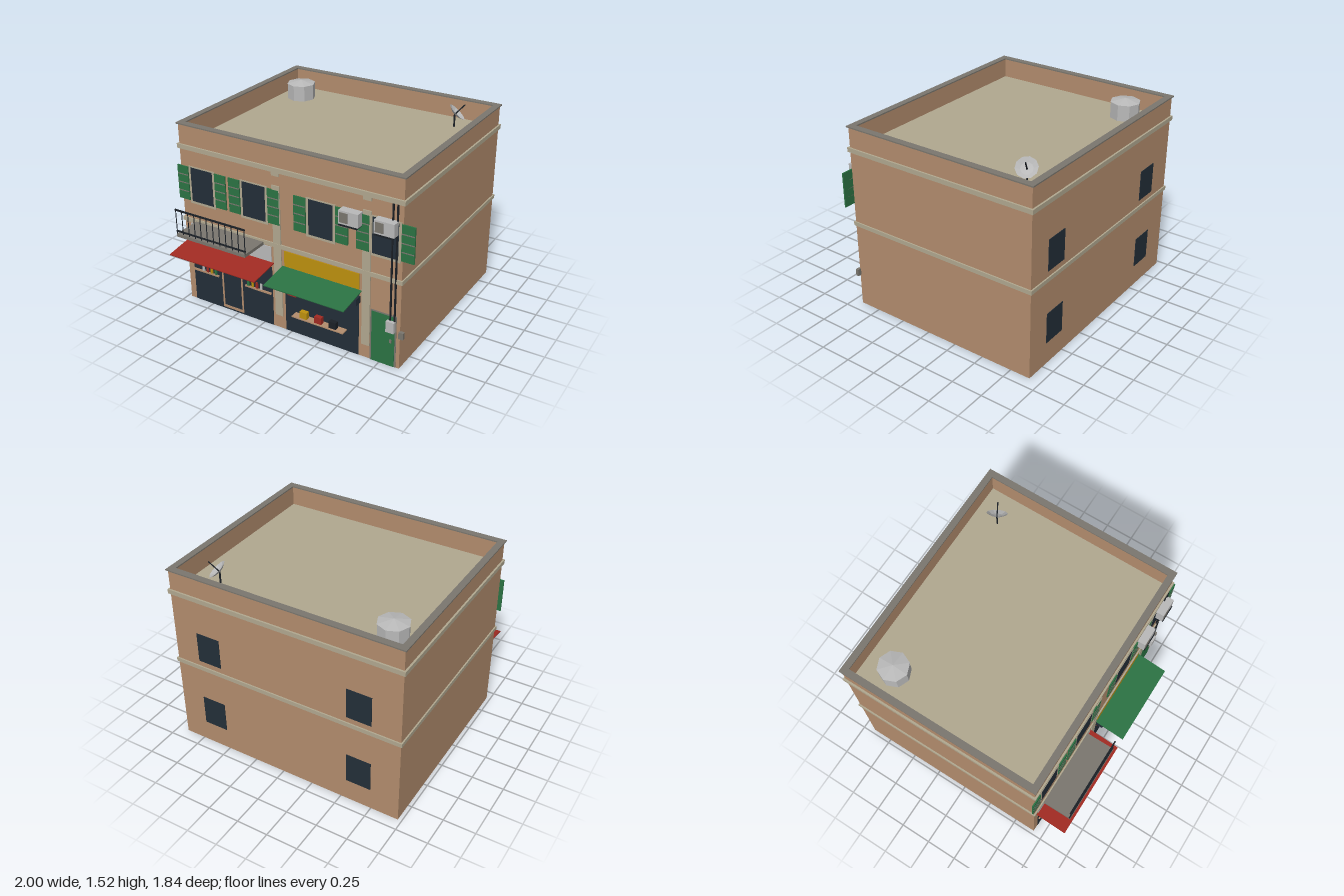
import * as THREE from 'three';

const mat = (name, color, side = THREE.FrontSide) => {
  const m = new THREE.MeshStandardMaterial({ color, side });
  m.name = name;
  m.flatShading = true;
  return m;
};

export function createModel() {
  const M = {
    wall: mat('tan plaster', 0xb28c6d),
    trim: mat('pale stone', 0xb0a78f),
    grey: mat('dark concrete', 0x7a766e),
    green: mat('green paint', 0x2b7243),
    red: mat('red paint', 0xa02a22),
    yellow: mat('yellow paint', 0xbc900e),
    glass: mat('dark glass', 0x232e38),
    metal: mat('light metal', 0xb9b9b9, THREE.DoubleSide),
    black: mat('black iron', 0x1b2026, THREE.DoubleSide),
  };
  const root = new THREE.Group();
  root.name = 'shopBuilding';
  const FRONT = 0.67, BACK = -0.91, LEFT = -0.97, RIGHT = 0.91, ROOF = 1.335;

  const add = (name, geo, material, parent = root) => {
    const mesh = new THREE.Mesh(geo, material);
    mesh.name = name;
    parent.add(mesh);
    return mesh;
  };
  // box given by its limits on each axis
  const box = (name, m, x0, x1, y0, y1, z0, z1, parent) => {
    const b = add(name, new THREE.BoxGeometry(x1 - x0, y1 - y0, z1 - z0), m, parent);
    b.position.set((x0 + x1) / 2, (y0 + y1) / 2, (z0 + z1) / 2);
    return b;
  };
  // thin plate on the front wall, reaching d out from it
  const plate = (name, m, x0, x1, y0, y1, d, parent) =>
    box(name, m, x0, x1, y0, y1, FRONT - 0.002, FRONT + d, parent);
  const group = (name) => {
    const g = new THREE.Group();
    g.name = name;
    root.add(g);
    return g;
  };
  // rectangular ring around the building, out and inn measured from the wall face
  const ring = (name, m, out, inn, y0, y1) => {
    const rect = (C, o) => new C([
      new THREE.Vector2(LEFT - o, -FRONT - o), new THREE.Vector2(RIGHT + o, -FRONT - o),
      new THREE.Vector2(RIGHT + o, -BACK + o), new THREE.Vector2(LEFT - o, -BACK + o),
    ]);
    const s = rect(THREE.Shape, out);
    s.holes.push(rect(THREE.Path, -inn));
    const g = new THREE.ExtrudeGeometry(s, { depth: y1 - y0, bevelEnabled: false });
    g.rotateX(-Math.PI / 2);
    add(name, g, m).position.y = y0;
  };

  // main body, roof and parapet
  box('body', M.wall, LEFT, RIGHT, 0, ROOF - 0.005, BACK, FRONT);
  box('roofDeck', M.trim, LEFT + 0.03, RIGHT - 0.03, ROOF - 0.005, ROOF, BACK + 0.03, FRONT - 0.03);
  ring('parapet', M.wall, 0, 0.04, ROOF - 0.005, 1.485);
  ring('parapetCap', M.grey, 0.012, 0.04, 1.485, 1.495);
  ring('cornice', M.trim, 0.014, 0.01, 1.295, 1.33);
  ring('floorBand', M.trim, 0.011, 0.01, 0.693, 0.725);

  // pilasters
  for (const x of [-0.108, 0.637]) {
    plate('pilaster', M.trim, x - 0.033, x + 0.033, 0.11, 1.19, 0.008);
    plate('pilasterHead', M.trim, x - 0.033, x + 0.033, 1.265, 1.295, 0.008);
  }

  // upper windows with shutters
  for (const x of [-0.778, -0.305, 0.265, 0.778]) {
    const g = group('shutteredWindow');
    plate('windowFrame', M.trim, x - 0.12, x + 0.12, 0.858, 1.165, 0.004, g);
    plate('windowPane', M.glass, x - 0.1, x + 0.1, 0.878, 1.155, 0.006, g);
    for (const s of [-1, 1]) {
      const c = x + s * 0.173;
      plate('shutter', M.green, c - 0.05, c + 0.05, 0.88, 1.155, 0.009, g);
      for (const y of [0.95, 1.018, 1.086])
        plate('shutterSlat', M.grey, c - 0.048, c + 0.048, y - 0.004, y + 0.004, 0.011, g);
    }
  }

  // back windows
  for (const x of [-0.645, 0.612])
    for (const y of [0.18, 0.77])
      box('backWindow', M.glass, x - 0.098, x + 0.098, y, y + 0.245, BACK - 0.004, BACK + 0.002);

  // shopfronts, signs and awnings
  const shop = (x0, x1, sign, awning, a0, a1) => {
    const g = group('shopfront');
    plate('shopGlass', M.glass, x0, x1, 0.001, 0.51, 0.003, g);
    plate('signBoard', sign, x0, x1, 0.555, 0.682, 0.006, g);
    const a = add('awning', new THREE.BoxGeometry(a1 - a0, 0.007, 0.253), awning, g);
    a.position.set((a0 + a1) / 2, 0.529, 0.795);
    a.rotation.x = Math.atan2(0.036, 0.25);
  };
  shop(-0.915, -0.165, M.metal, M.red, -0.935, -0.147);
  shop(-0.05, 0.58, M.yellow, M.green, -0.07, 0.6);

  // left shop: framed door and bottle shelves
  const d = group('shopDoor');
  plate('doorPost', M.wall, -0.642, -0.627, 0.015, 0.45, 0.006, d);
  plate('doorPost', M.wall, -0.46, -0.445, 0.015, 0.45, 0.006, d);
  plate('doorHead', M.wall, -0.627, -0.46, 0.422, 0.45, 0.006, d);
  plate('doorSill', M.wall, -0.627, -0.46, 0.015, 0.037, 0.006, d);
  const bottleColours = [M.metal, M.red, M.yellow, M.green];
  [[-0.91, -0.67, -0.818, 1], [-0.415, -0.175, -0.387, -1]].forEach(([x0, x1, start, dir]) => {
    const g = group('bottleShelf');
    plate('shelf', M.wall, x0, x1, 0.272, 0.286, 0.015, g);
    for (let i = 0; i < 4; i++) {
      const x = start + i * 0.04;
      const m = bottleColours[dir > 0 ? i : 3 - i];
      plate('bottle', m, x - 0.009, x + 0.009, 0.286, 0.336, 0.013, g);
    }
  });

  // right shop: roller housing, poster and goods shelf
  box('rollerHousing', M.glass, -0.06, 0.59, 0.45, 0.503, FRONT, 0.732);
  plate('poster', M.red, -0.03, 0.047, 0.315, 0.432, 0.006);
  box('goodsShelf', M.wall, 0.042, 0.483, 0.178, 0.187, FRONT, 0.735);
  [[0.137, M.yellow], [0.264, M.red], [0.388, M.black]].forEach(([x, m]) =>
    box('crate', m, x - 0.03, x + 0.03, 0.187, 0.242, 0.69, 0.725));

  // side door
  plate('entranceFrame', M.grey, 0.673, 0.882, 0.001, 0.428, 0.003);
  plate('entranceDoor', M.green, 0.685, 0.87, 0.001, 0.417, 0.006);
  plate('doorHandle', M.grey, 0.833, 0.849, 0.2, 0.228, 0.012);

  // balcony
  const b = group('balcony');
  box('balconySlab', M.grey, -0.855, -0.228, 0.685, 0.71, FRONT, 0.91, b);
  box('topRail', M.black, -0.858, -0.225, 0.9, 0.912, 0.898, 0.908, b);
  box('bottomRail', M.black, -0.858, -0.225, 0.727, 0.737, 0.898, 0.908, b);
  for (let i = 0; i < 12; i++) {
    const p = add('baluster', new THREE.PlaneGeometry(0.009, 0.198), M.black, b);
    p.position.set(-0.853 + i * 0.0567, 0.806, 0.903);
  }

  // air conditioners
  for (const x of [0.445, 0.72]) {
    const g = group('airConditioner');
    box('unitCase', M.metal, x, x + 0.155, 1.068, 1.17, FRONT, 0.735, g);
    box('unitGrille', M.grey, x + 0.011, x + 0.073, 1.082, 1.157, 0.734, 0.739, g);
    box('unitBracket', M.black, x + 0.005, x + 0.15, 1.058, 1.068, FRONT, 0.742, g);
  }

  // cables, meter and side box
  for (const x of [0.834, 0.868])
    box('cable', M.black, x - 0.005, x + 0.005, 0.38, 1.295, FRONT, 0.683);
  box('meterBox', M.metal, 0.81, 0.875, 0.298, 0.387, FRONT, 0.702);
  box('sideBox', M.grey, 0.904, 0.941, 0.26, 0.315, 0.66, 0.685);

  // water tank
  const t = group('waterTank');
  t.position.set(-0.743, ROOF, -0.636);
  add('tankBody', new THREE.CylinderGeometry(0.115, 0.115, 0.127, 8), M.metal, t).position.y = 0.0635;
  add('tankLid', new THREE.ConeGeometry(0.118, 0.025, 8), M.metal, t).position.y = 0.1395;

  // satellite dish, aimed up and towards the back left
  const s = group('satelliteDish');
  s.position.set(0.637, ROOF, -0.678);
  add('dishPost', new THREE.CylinderGeometry(0.007, 0.007, 0.105, 6), M.black, s).position.y = 0.0525;
  const head = new THREE.Group();
  head.name = 'dishHead';
  head.position.y = 0.1;
  head.quaternion.setFromUnitVectors(new THREE.Vector3(0, 1, 0), new THREE.Vector3(0.61, 0.73, -0.3).normalize());
  s.add(head);
  const profile = [[0.001, 0], [0.045, 0.009], [0.08, 0.027]].map((p) => new THREE.Vector2(...p));
  add('dishBowl', new THREE.LatheGeometry(profile, 10), M.metal, head);
  add('dishArm', new THREE.CylinderGeometry(0.005, 0.005, 0.11, 6), M.black, head).position.y = 0.055;

  return root;
}
